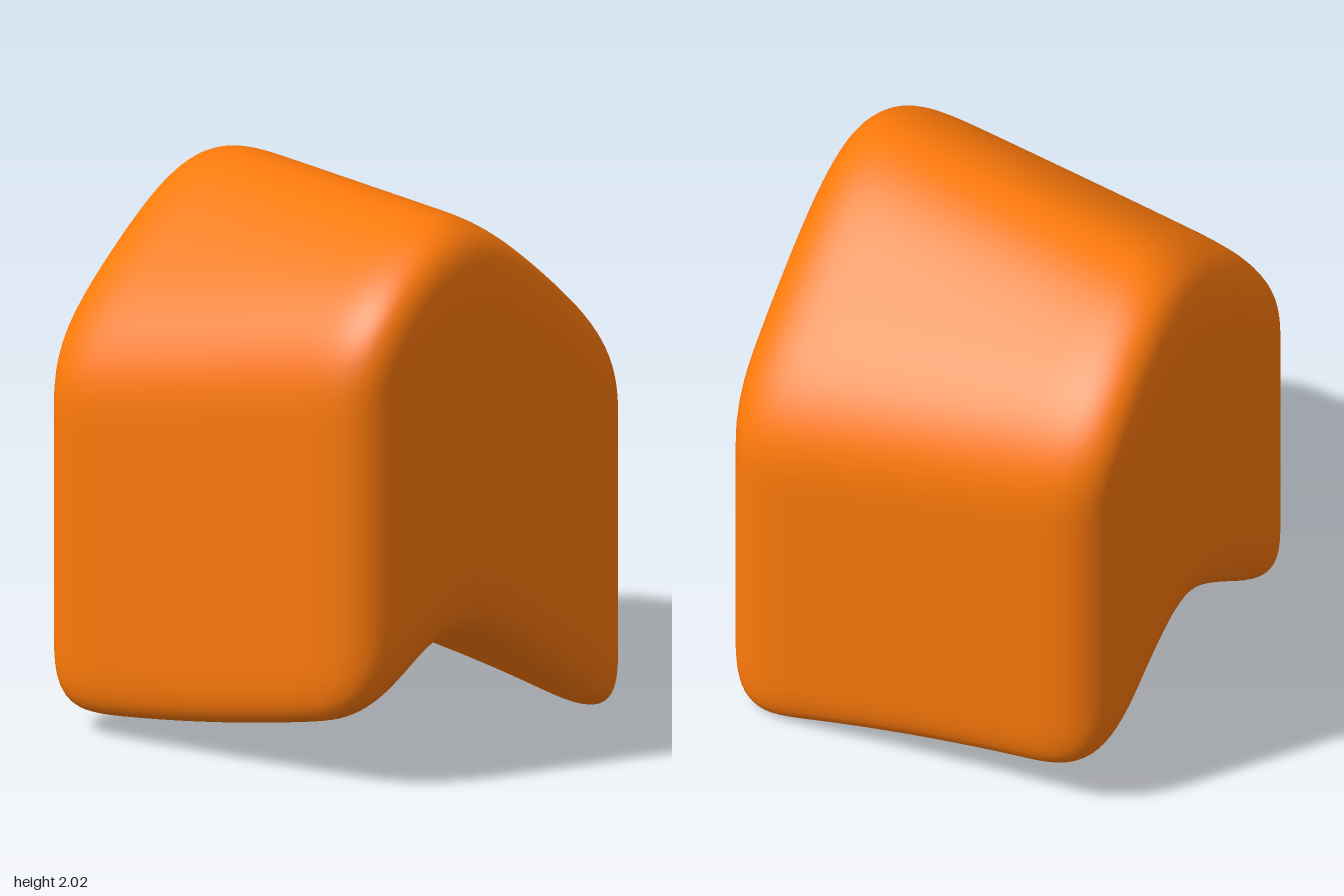
import * as THREE from 'three';
import { mergeVertices } from 'three/addons/utils/BufferGeometryUtils.js';

const HALF = 0.793;  // half width and depth
const CORE = 0.5;    // flat share of each face, the rest is rounded
const K = 3.7;       // exponent of the edge rounding

// Smooth ridge: 0 on its crest, falling away on both sides
const ridge = (d, slope, soft) => -slope * (Math.hypot(d, soft) - soft);

// Gabled top and arched underside, both with crests turned slightly across the body
const topHeight = (x, z) => 2 + ridge(z - (0.05 + 0.24 * x), 0.95, 0.38);
const bottomHeight = (x, z) => 0.428 + ridge(z - (0.025 + 0.21 * x + 0.1 * x * x), 0.74, 0.24);

// Push a point of the cube onto a softly rounded cube
function roundPoint(p) {
  const core = p.clone().clampScalar(-CORE, CORE);
  const d = p.clone().sub(core);
  const len = (Math.abs(d.x) ** K + Math.abs(d.y) ** K + Math.abs(d.z) ** K) ** (1 / K);
  return core.addScaledVector(d, (1 - CORE) / len);
}

export function createModel() {
  const group = new THREE.Group();
  group.name = 'model';

  let geometry = new THREE.BoxGeometry(2, 2, 2, 40, 40, 40);
  geometry.deleteAttribute('uv');
  geometry.deleteAttribute('normal');
  geometry = mergeVertices(geometry);

  // Span each column between underside and top
  const pos = geometry.attributes.position;
  const p = new THREE.Vector3();
  for (let i = 0; i < pos.count; i++) {
    const q = roundPoint(p.fromBufferAttribute(pos, i));
    const x = q.x * HALF, z = q.z * HALF;
    const y = THREE.MathUtils.lerp(bottomHeight(x, z), topHeight(x, z), (q.y + 1) / 2);
    pos.setXYZ(i, x, y, z);
  }

  // Rest the lowest corner on the ground
  geometry.computeBoundingBox();
  geometry.translate(0, -geometry.boundingBox.min.y, 0);
  geometry.computeVertexNormals();

  const body = new THREE.Mesh(geometry, new THREE.MeshStandardMaterial({ color: 0xff7a0a }));
  body.name = 'body';
  group.add(body);
  return group;
}
